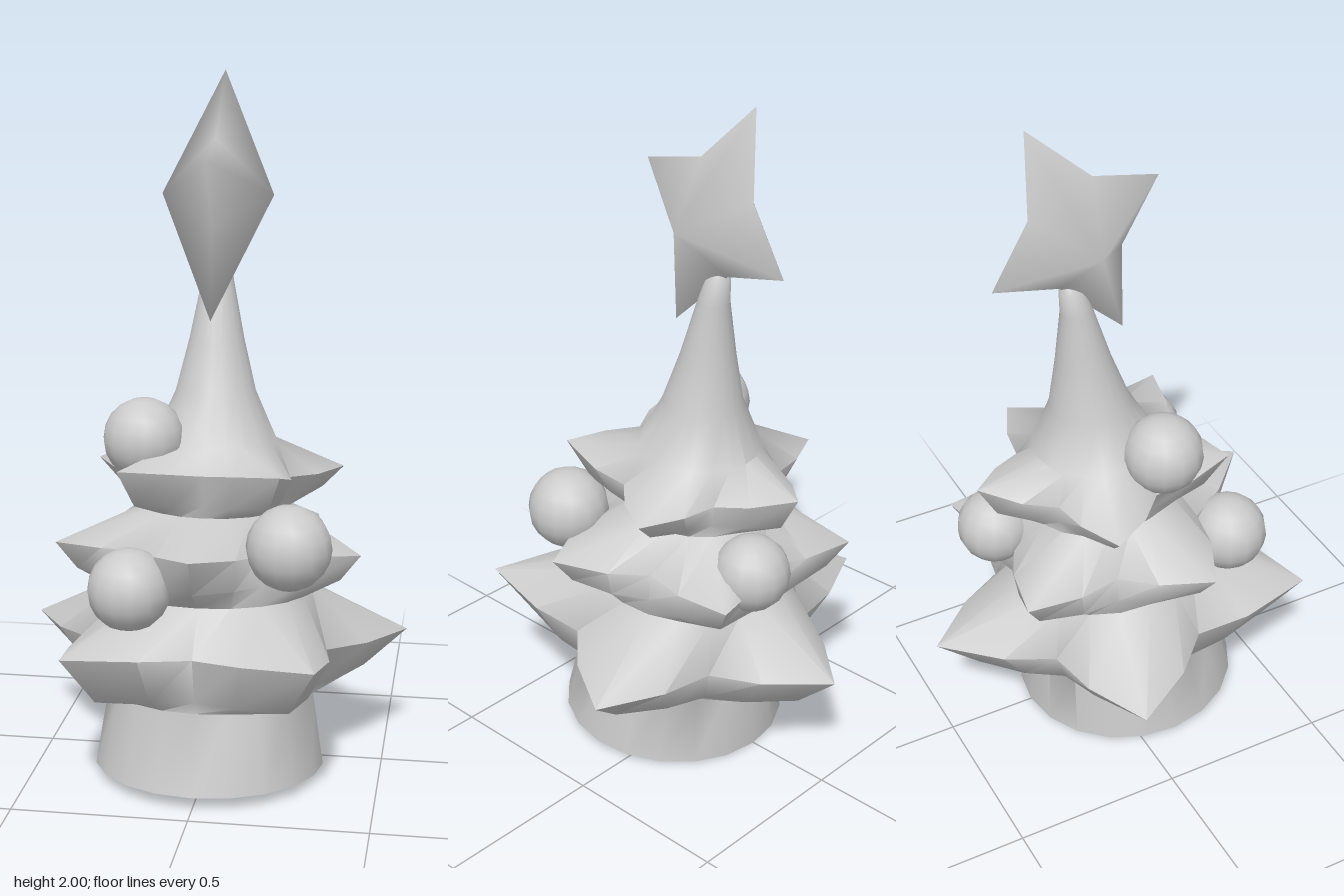
import * as THREE from 'three';
import { toCreasedNormals } from 'three/addons/utils/BufferGeometryUtils.js';

const SIDES = 20;
const material = new THREE.MeshStandardMaterial({ color: 0xcccccc });

function makeGeometry(positions, index) {
  const geo = new THREE.BufferGeometry();
  geo.setAttribute('position', new THREE.Float32BufferAttribute(positions, 3));
  geo.setIndex(index);
  return geo;
}

function addMesh(group, name, geo) {
  const mesh = new THREE.Mesh(geo, material);
  mesh.name = name;
  group.add(mesh);
  return mesh;
}

// Each ring: height, tilt, curl, centre z, radii at [point, flank, notch], first point step.
// Ring height follows y + tilt * z + curl * z * z.
const round = (r) => [r, r, r];
const RINGS = [
  // trunk
  [0.014, 0.06, 0, 0.105, round(0.335), 0],
  [0.235, 0.08, 0, 0.08, round(0.3), 0],
  // bottom tier: underside, rim, waist
  [0.27, 0.08, 0, 0.06, [0.46, 0.38, 0.325], 0],
  [0.377, 0.094, 0.117, 0.054, [0.589, 0.456, 0.365], 0],
  [0.525, 0.09, 0, 0.03, round(0.29), 0],
  // middle tier
  [0.585, 0.09, 0, 0.02, [0.4, 0.345, 0.3], 2],
  [0.66, 0.091, 0.132, 0.018, [0.462, 0.36, 0.288], 2],
  [0.77, 0.06, 0, 0, round(0.215), 0],
  // top tier
  [0.81, 0.05, 0, 0, [0.32, 0.26, 0.22], 0],
  [0.868, 0.0765, 0.43, 0.004, [0.384, 0.3, 0.24], 0],
  // tapering crown
  [0.96, 0.06, 0, -0.005, round(0.18), 0],
  [1.1, 0.06, 0, -0.02, round(0.117), 0],
  [1.25, 0.06, 0, -0.04, round(0.08), 0],
  [1.42, 0.06, 0, -0.06, round(0.046), 0],
  [1.485, 0, 0, -0.075, round(0.035), 0],
  [1.508, 0, 0, -0.08, round(0.015), 0],
];

// Loft of star-shaped rings with closed ends
function treeGeometry() {
  const pos = [], index = [];
  for (const [y, tilt, curl, cz, radii, first] of RINGS) {
    for (let i = 0; i < SIDES; i++) {
      const step = (i + first) % 4;
      const r = radii[step === 0 ? 0 : step === 2 ? 2 : 1];
      const a = (i / SIDES) * Math.PI * 2;
      const z = cz - r * Math.cos(a);
      pos.push(r * Math.sin(a), y + tilt * z + curl * z * z, z);
    }
  }
  const bottom = pos.length / 3, top = bottom + 1;
  pos.push(0, 0.02, 0.105, 0, 1.512, -0.08);
  const last = (RINGS.length - 1) * SIDES;
  for (let i = 0; i < SIDES; i++) {
    const j = (i + 1) % SIDES;
    for (let k = 0; k < last; k += SIDES) {
      const a = k + i, b = k + j, c = a + SIDES, d = b + SIDES;
      index.push(a, c, b, b, c, d);
    }
    index.push(bottom, i, j, top, last + j, last + i);
  }
  return toCreasedNormals(makeGeometry(pos, index), 1.0);
}

// Four-pointed star lying in the yz plane, one peak on each side
function starGeometry() {
  const half = [[0.34, -0.145], [0.16, 0.05], [0.115, 0.25], [-0.075, 0.14]];
  const rim = [...half, ...half.map(([y, z]) => [-y, -z])];
  const pos = [], index = [];
  for (const side of [1, -1]) {
    const peak = pos.length / 3;
    pos.push(0.16 * side, 0, 0);
    for (const [y, z] of rim) pos.push(0, y, z);
    for (let i = 0; i < rim.length; i++) {
      const a = peak + 1 + i, b = peak + 1 + ((i + 1) % rim.length);
      index.push(peak, ...(side > 0 ? [a, b] : [b, a]));
    }
  }
  const geo = makeGeometry(pos, index);
  geo.computeVertexNormals();
  return geo;
}

export function createModel() {
  const group = new THREE.Group();
  group.name = 'decoratedTree';
  addMesh(group, 'tree', treeGeometry());
  addMesh(group, 'starTopper', starGeometry()).position.set(0, 1.66, -0.06);

  // Hanging baubles: x, y, z, radius
  const baubles = [
    [-0.185, 0.985, 0.12, 0.117],
    [0.25, 0.732, 0.29, 0.12],
    [-0.187, 0.61, 0.35, 0.117],
    [0.09, 0.675, -0.29, 0.112],
  ];
  for (const [x, y, z, r] of baubles) {
    addMesh(group, 'bauble', new THREE.SphereGeometry(r, 14, 10)).position.set(x, y, z);
  }
  return group;
}
